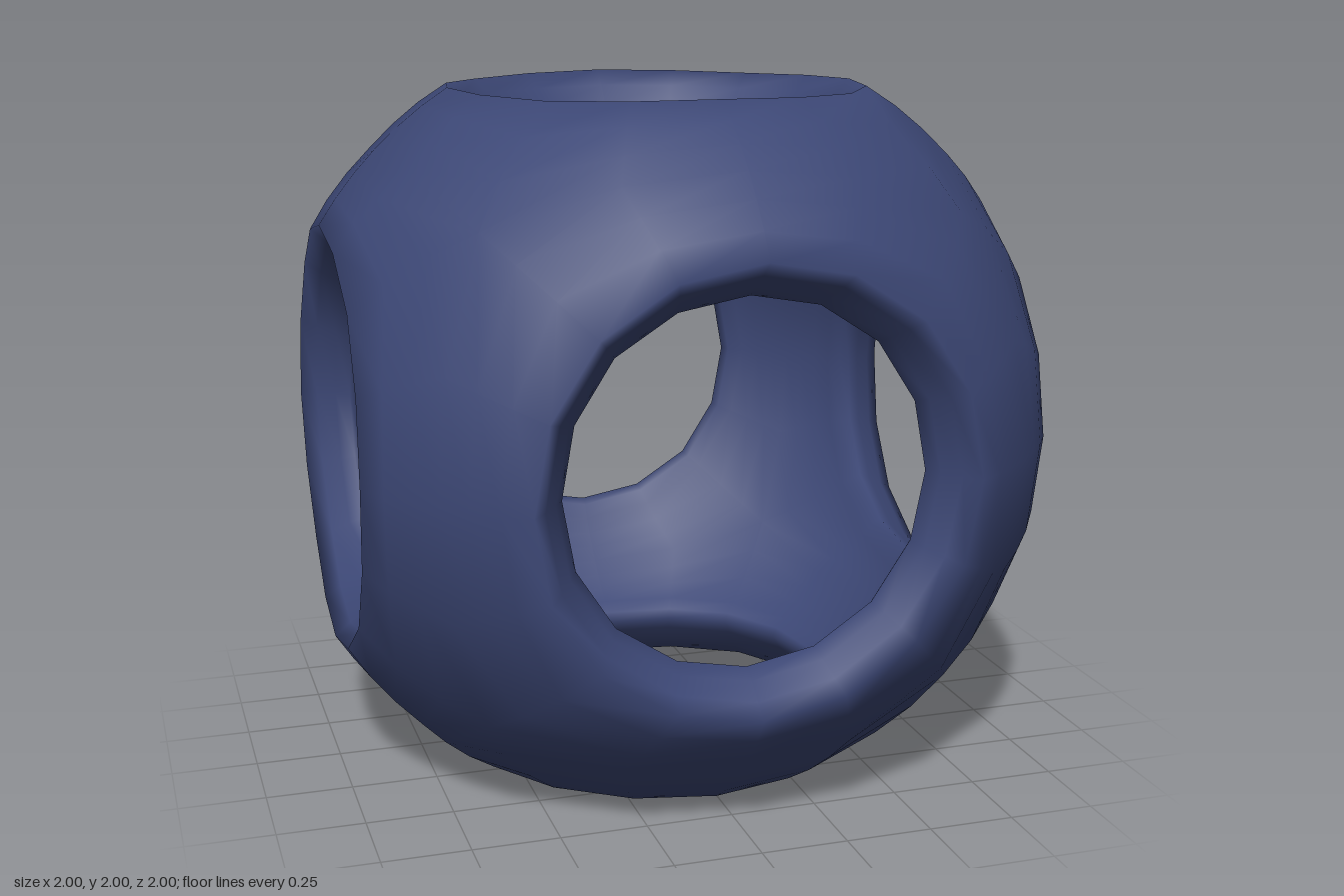
import * as THREE from 'three';
import { mergeVertices } from 'three/addons/utils/BufferGeometryUtils.js';

const SIDES = 16, RINGS = 3;
const OUTER = 1.177, INNER = 0.99;

// Bevelled lip of a hole: [distance from hole axis, height along the axis]
const LIP = [
  [0.62, 1.0], [0.58, 0.954], [0.54, 0.9], [0.513, 0.858], [0.529, 0.83], [0.575, 0.806],
];

const angles = Array.from({ length: SIDES }, (_, j) => (j / SIDES) * Math.PI * 2);

// Point on the lip; it is a little wider and lower on the diagonals
function lipPoint([r, h], a) {
  const diagonal = Math.sin(2 * a) ** 2;
  const wide = r + 0.006 * diagonal;
  return new THREE.Vector3(Math.cos(a) * wide, Math.sin(a) * wide, h - 0.008 * diagonal);
}

// Row of points around a hole, blended from the lip (t = 0) to the edge of the cube face (t = 1)
function sphereRow(p, radius, t) {
  return angles.map((a) => {
    const c = Math.cos(a), s = Math.sin(a), m = Math.max(Math.abs(c), Math.abs(s));
    const edge = new THREE.Vector3(c / m, s / m, 1).normalize();
    return lipPoint(p, a).normalize().lerp(edge, t).setLength(radius);
  });
}

function createShellGeometry() {
  // Rows run from the outer skin, over the lip, to the inner skin
  const rows = [];
  for (let k = RINGS; k > 0; k--) rows.push(sphereRow(LIP[0], OUTER, k / RINGS));
  for (const p of LIP) rows.push(angles.map((a) => lipPoint(p, a)));
  for (let k = 1; k <= RINGS; k++) rows.push(sphereRow(LIP[LIP.length - 1], INNER, k / RINGS));

  // The same patch is turned to each of the six directions
  const q = Math.PI / 2;
  const turns = [[0, 0], [0, q], [0, 2 * q], [0, -q], [q, 0], [-q, 0]];
  const positions = [];
  for (const [rx, ry] of turns) {
    const turn = new THREE.Euler(rx, ry, 0);
    const put = (v) => positions.push(...v.clone().applyEuler(turn).toArray());
    for (let i = 0; i < rows.length - 1; i++) {
      for (let j = 0; j < SIDES; j++) {
        const n = (j + 1) % SIDES;
        const a = rows[i][j], b = rows[i][n], c = rows[i + 1][n], d = rows[i + 1][j];
        [a, b, c, a, c, d].forEach(put);
      }
    }
  }
  const raw = new THREE.BufferGeometry();
  raw.setAttribute('position', new THREE.Float32BufferAttribute(positions, 3));
  // Welding the patches gives smooth normals across their seams
  const geometry = mergeVertices(raw, 1e-3);
  geometry.computeVertexNormals();
  return geometry;
}

export function createModel() {
  const group = new THREE.Group();
  group.name = 'hollowSphere';
  const blue = new THREE.MeshStandardMaterial({ color: 0x3c4775 });
  blue.name = 'slate blue';
  const shell = new THREE.Mesh(createShellGeometry(), blue);
  shell.name = 'piercedShell';
  shell.position.y = 1;
  group.add(shell);
  return group;
}
